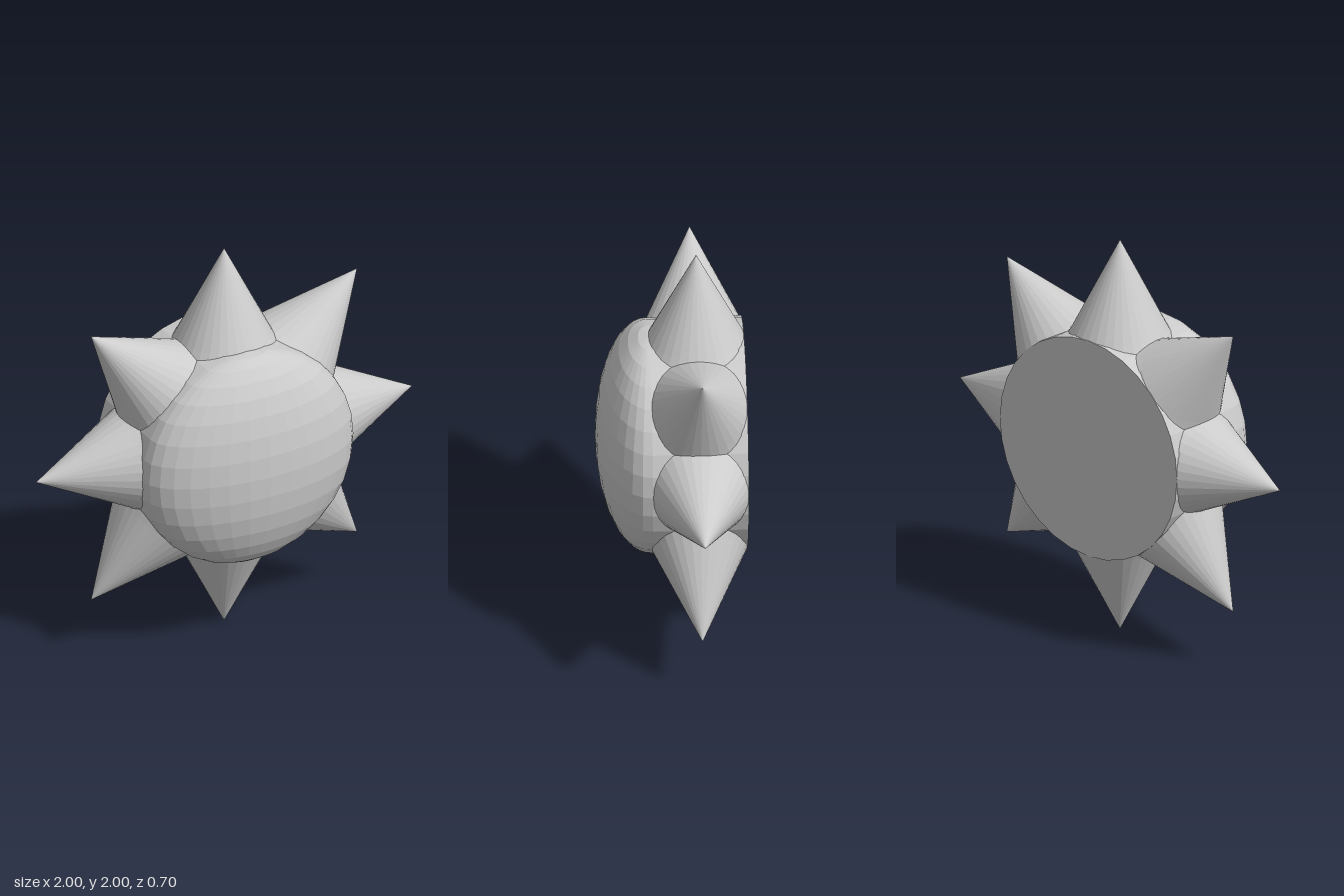
import * as THREE from 'three';

const RADIUS = 0.553;     // body radius
const HALF = 0.225;       // half depth of the body drum
const MID_Z = -0.125;     // depth of the ray axes

export function createModel() {
  const model = new THREE.Group();
  model.name = 'sun';
  const material = new THREE.MeshStandardMaterial({ color: 0xcccccc, flatShading: true });

  const add = (name, geometry) => {
    const mesh = new THREE.Mesh(geometry, material);
    mesh.name = name;
    mesh.position.set(0, 1, MID_Z);
    model.add(mesh);
    return mesh;
  };

  // Flat-backed drum
  add('body', new THREE.CylinderGeometry(RADIUS, RADIUS, 2 * HALF, 32).rotateX(Math.PI / 2));

  // Front half of a flattened sphere
  const dome = new THREE.SphereGeometry(1, 16, 16, 0, Math.PI).scale(RADIUS, RADIUS, 0.25);
  add('faceDome', dome.translate(0, 0, HALF));

  // Conical ray, its buried skirt kept in front of the flat back
  const ray = new THREE.LatheGeometry([
    new THREE.Vector2(0.257, 0.49),
    new THREE.Vector2(0.225, 0.55),
    new THREE.Vector2(0, 1),
  ], 32);
  const pos = ray.attributes.position;
  for (let i = 0; i < pos.count; i++) pos.setZ(i, Math.max(pos.getZ(i), -HALF + 0.0005));

  // Eight rays around the rim
  for (let i = 0; i < 8; i++) add(`ray${i + 1}`, ray).rotation.z = (i * Math.PI) / 4;

  return model;
}
